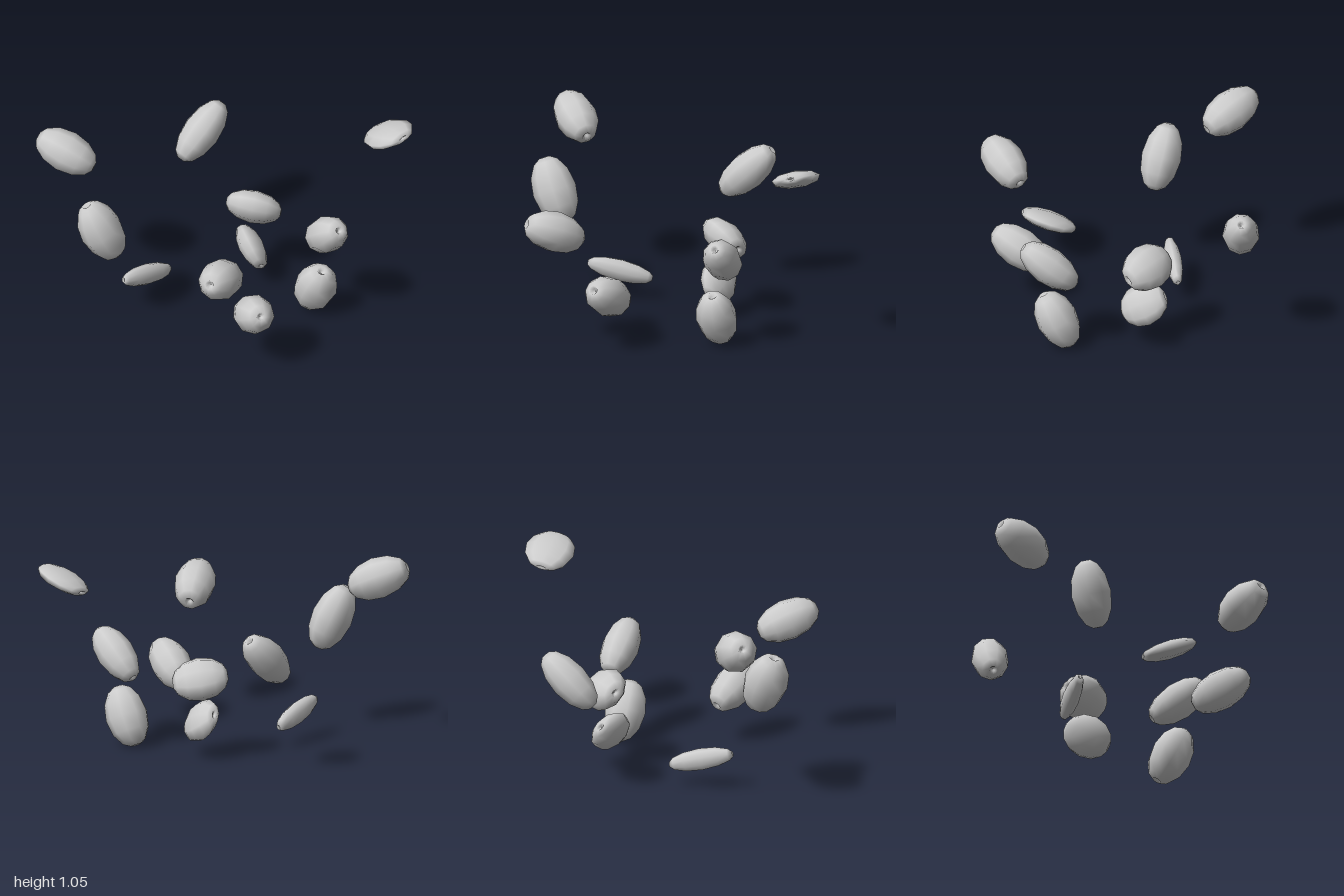
import * as THREE from 'three';

// One bead: centre, half-vector along its hole, width radius, thickness radius, flat-side normal
const BEADS = [
  { c: [-0.84, 0.89, -0.125], v: [0.153, -0.065, 0.043], w: 0.112, t: 0.112 },
  { c: [-0.632, 0.602, 0.18], v: [-0.08, 0.165, 0.01], w: 0.12, t: 0.107, n: [0.7, 0.35, 0.7] },
  { c: [-0.163, 0.637, -0.748], v: [0.106, 0.13, -0.088], w: 0.1, t: 0.1 },
  { c: [0.035, 0.667, 0.706], v: [-0.052, 0.063, 0.152], w: 0.11, t: 0.11 },
  { c: [0.14, 0.43, -0.355], v: [0.147, -0.025, 0.015], w: 0.125, t: 0.088, n: [0, 0.7, -0.7] },
  { c: [0.193, 0.297, 0.47], v: [0.05, 0.08, 0.142], w: 0.107, t: 0.107 },
  { c: [0.13, 0.195, -0.325], v: [0.06, -0.06, 0.1], w: 0.118, t: 0.065, n: [0.85, 0.46, -0.23] },
  { c: [0.49, 0.154, -0.027], v: [0.04, 0.148, 0.065], w: 0.115, t: 0.108, n: [0, -0.4, 0.9] },
  { c: [0.548, 0.493, -0.02], v: [0.079, 0.108, 0.117], w: 0.1, t: 0.1 },
  { c: [0.86, 0.978, -0.27], v: [0.09, 0.05, 0.11], w: 0.134, t: 0.047, n: [-0.37, 0.92, -0.11] },
  { c: [-0.41, 0.155, -0.085], v: [0.118, -0.043, -0.128], w: 0.06, t: 0.045, n: [0.7, 0.02, 0.68] },
];

// Rounded barrel of unit radius and half-length with a dimple in each end
function beadGeometry() {
  const half = [[0, 0.82], [0.12, 0.87], [0.23, 0.985], [0.56, 0.85], [0.87, 0.5]];
  const points = [
    ...half.map(([r, y]) => new THREE.Vector2(r, -y)),
    new THREE.Vector2(1, 0),
    ...half.slice().reverse().map(([r, y]) => new THREE.Vector2(r, y)),
  ];
  return new THREE.LatheGeometry(points, 9);
}

export function createModel() {
  const group = new THREE.Group();
  group.name = 'scatteredBeads';
  const grey = new THREE.MeshStandardMaterial({ color: 0xcccccc });
  grey.name = 'lightGrey';
  const geometry = beadGeometry();

  BEADS.forEach(({ c, v, w, t, n = [0.3, 0.5, 0.8] }, i) => {
    const axis = new THREE.Vector3(...v);
    const length = axis.length();
    axis.normalize();
    // Right-handed frame: x is the width, y the hole axis, z the flat side
    const side = new THREE.Vector3().crossVectors(axis, new THREE.Vector3(...n)).normalize();
    const normal = new THREE.Vector3().crossVectors(side, axis);
    const bead = new THREE.Mesh(geometry, grey);
    bead.name = `bead${i + 1}`;
    bead.quaternion.setFromRotationMatrix(new THREE.Matrix4().makeBasis(side, axis, normal));
    bead.scale.set(w, length, t);
    bead.position.set(...c);
    group.add(bead);
  });
  return group;
}
